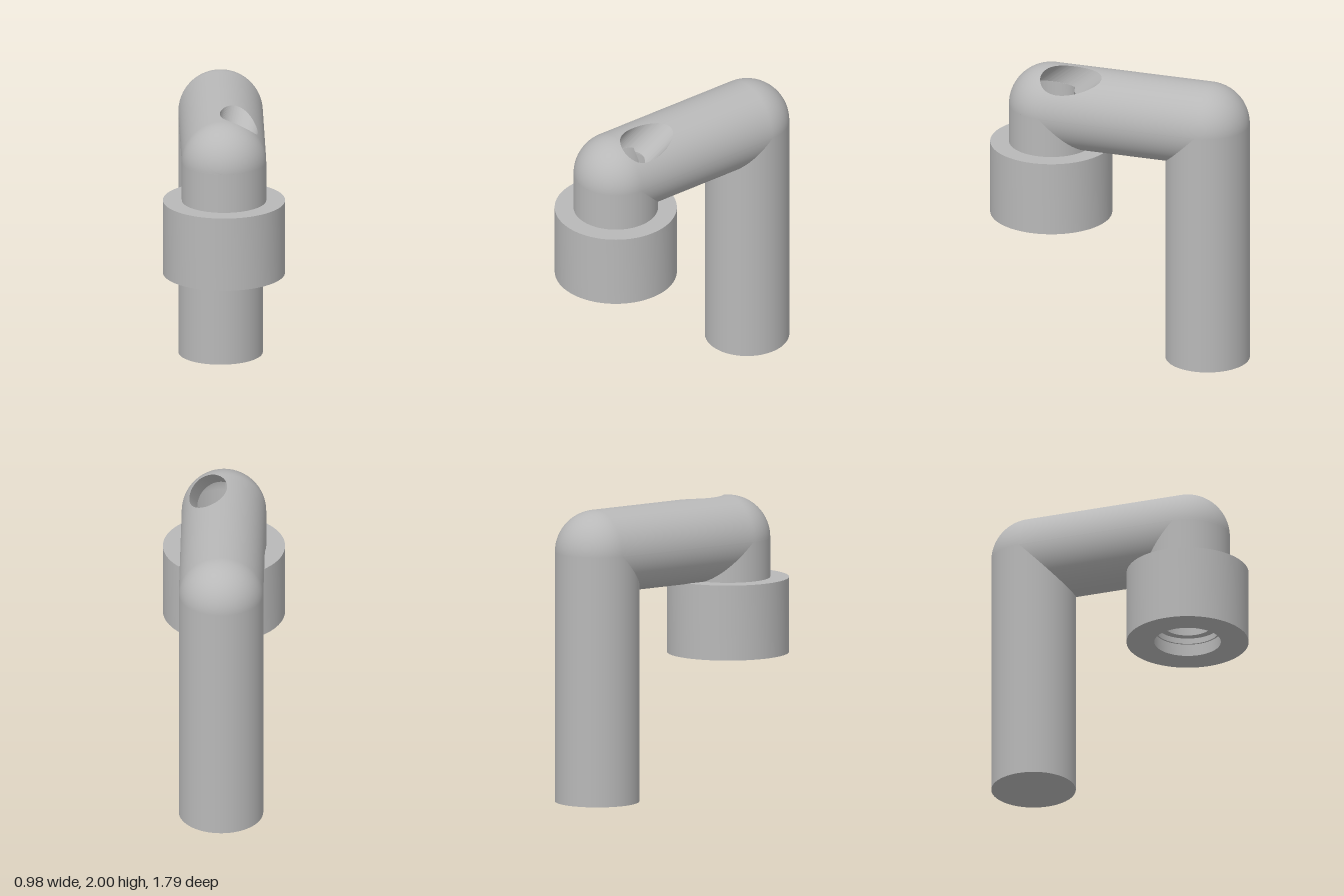
import * as THREE from 'three';
import { mergeVertices, toCreasedNormals } from 'three/addons/utils/BufferGeometryUtils.js';

const V = (x, y, z) => new THREE.Vector3(x, y, z);
const R = 0.287, AXIS_Y = 1.713;             // pipe radius and arm height
const A = V(-0.2, AXIS_Y, -0.605);           // rear elbow centre
const B = V(0.073, AXIS_Y, 0.478);           // front elbow centre
const L = A.distanceTo(B);
const along = B.clone().sub(A).normalize();
const side = V(0, 1, 0).cross(along);
const BORE = 0.165, BORE_TOP = 1.85;         // vertical passage in the outlet
const cutPoint = V(0.14, 1.97, 0.281), CUT_R = 0.14;   // slanted hole
const cutDir = V(0, -0.643, 0.766).normalize();

const inCut = p => p.clone().sub(cutPoint).cross(cutDir).length() < CUT_R;
const inBore = p => p.y < BORE_TOP && Math.hypot(p.x - B.x, p.z - B.z) < BORE;

// Surface grid from fn(i, j), with shared vertices welded for smooth normals
function grid(nu, nv, fn) {
  const pos = [], index = [];
  for (let i = 0; i <= nu; i++) for (let j = 0; j <= nv; j++) pos.push(...fn(i, j).toArray());
  for (let i = 0; i < nu; i++) for (let j = 0; j < nv; j++) {
    const a = i * (nv + 1) + j, b = a + nv + 1;
    index.push(a, b, a + 1, b, b + 1, a + 1);
  }
  const g = new THREE.BufferGeometry();
  g.setAttribute('position', new THREE.Float32BufferAttribute(pos, 3));
  g.setIndex(index);
  const welded = mergeVertices(g, 1e-5);
  welded.computeVertexNormals();
  return welded;
}

// Arm skin: a cylinder that runs on into a round nose past v = L
function skin(theta, v) {
  const nose = Math.max(0, v - L) / R;
  const n = side.clone().multiplyScalar(Math.cos(theta) * Math.cos(nose))
    .addScaledVector(V(0, 1, 0), Math.sin(theta) * Math.cos(nose))
    .addScaledVector(along, Math.sin(nose));
  return A.clone().addScaledVector(along, Math.min(v, L)).addScaledVector(n, R);
}

export function createModel() {
  const model = new THREE.Group();
  const grey = new THREE.MeshStandardMaterial({ color: 0xb8b8b8, side: THREE.DoubleSide });
  grey.name = 'grey';
  const add = (name, geometry, x = 0, y = 0, z = 0) => {
    const m = new THREE.Mesh(geometry, grey);
    m.name = name;
    m.position.set(x, y, z);
    model.add(m);
  };

  // Post with rounded elbow
  add('post', new THREE.CylinderGeometry(R, R, AXIS_Y, 96, 1, true), A.x, AXIS_Y / 2, A.z);
  add('postBase', new THREE.CircleGeometry(R, 96).rotateX(Math.PI / 2), A.x, 0, A.z);
  add('rearElbow', new THREE.SphereGeometry(R, 96, 32, 0, Math.PI * 2, 0, Math.PI / 2), A.x, AXIS_Y, A.z);

  // Underside of the arm, mitred into both uprights
  add('armUnderside', grid(64, 24, (i, j) => {
    const theta = Math.PI * (1 + i / 64), cut = R * Math.abs(Math.sin(theta));
    return skin(theta, cut + (L - 2 * cut) * j / 24);
  }));

  // Top of the arm and nose: rings shrinking from the border to the hole rim
  const vMax = L + R * Math.PI / 2, n = 80;
  const corners = [[0, 0], [Math.PI, 0], [Math.PI, vMax], [0, vMax], [0, 0]];
  const centre = [1.164, 0.942];
  const border = [], rimAt = [], rim = [];
  const mix = (b, k) => skin(centre[0] + (b[0] - centre[0]) * k, centre[1] + (b[1] - centre[1]) * k);
  for (let i = 0; i <= 4 * n; i++) {
    const s = Math.min(3, Math.floor(i / n)), t = i / n - s;
    const b = [0, 1].map(c => corners[s][c] + (corners[s + 1][c] - corners[s][c]) * t);
    let k = 0;
    while (k < 1 && inCut(mix(b, k))) k += 0.0005;
    border.push(b);
    rimAt.push(k);
    rim.push(mix(b, k));
  }
  add('armTop', grid(4 * n, 40, (i, j) => mix(border[i], 1 + (rimAt[i] - 1) * j / 40)));

  // Wall of the slanted hole, ending where it meets the vertical passage
  const depth = rim.map(p => {
    let s = 0;
    while (s < 0.27 && !inBore(p.clone().addScaledVector(cutDir, s))) s += 0.001;
    return s;
  });
  add('slantedHoleWall', grid(4 * n, 6, (i, j) => rim[i].clone().addScaledVector(cutDir, depth[i] * j / 6)));

  // Vertical passage, open where the slanted hole enters
  const ring = (i, y) => {
    const a = i / 96 * Math.PI * 2;
    return V(B.x + BORE * Math.cos(a), y, B.z + BORE * Math.sin(a));
  };
  add('passageWall', grid(96, 4, (i, j) => {
    let top = BORE_TOP;
    while (top > 1.5 && inCut(ring(i, top))) top -= 0.002;
    return ring(i, 1.05 + (top - 1.05) * j / 4);
  }));
  const cutCentre = cutPoint.clone().addScaledVector(cutDir, (BORE_TOP - cutPoint.y) / cutDir.y);
  add('passageCeiling', grid(96, 1, (i, j) => {
    const p = ring(i, BORE_TOP);
    let k = 0;
    while (j && k < 1 && !inCut(p.clone().lerp(cutCentre, k))) k += 0.005;
    return p.lerp(cutCentre, k);
  }));

  // Outlet pipe below the front elbow
  add('outletPipe', new THREE.CylinderGeometry(R, R, AXIS_Y - 1.44, 96, 1, true), B.x, (AXIS_Y + 1.44) / 2, B.z);

  // Collar with stepped socket
  const profile = [[BORE, 1.05], [0.215, 1.05], [0.215, 1.01], [0.226, 1.01], [0.226, 0.925],
    [0.415, 0.925], [0.415, 1.44], [R - 0.005, 1.44]].map(p => new THREE.Vector2(...p));
  const collar = new THREE.LatheGeometry(profile, 96);
  collar.deleteAttribute('uv');
  add('collar', toCreasedNormals(collar, 0.6), B.x, 0, B.z);
  return model;
}
